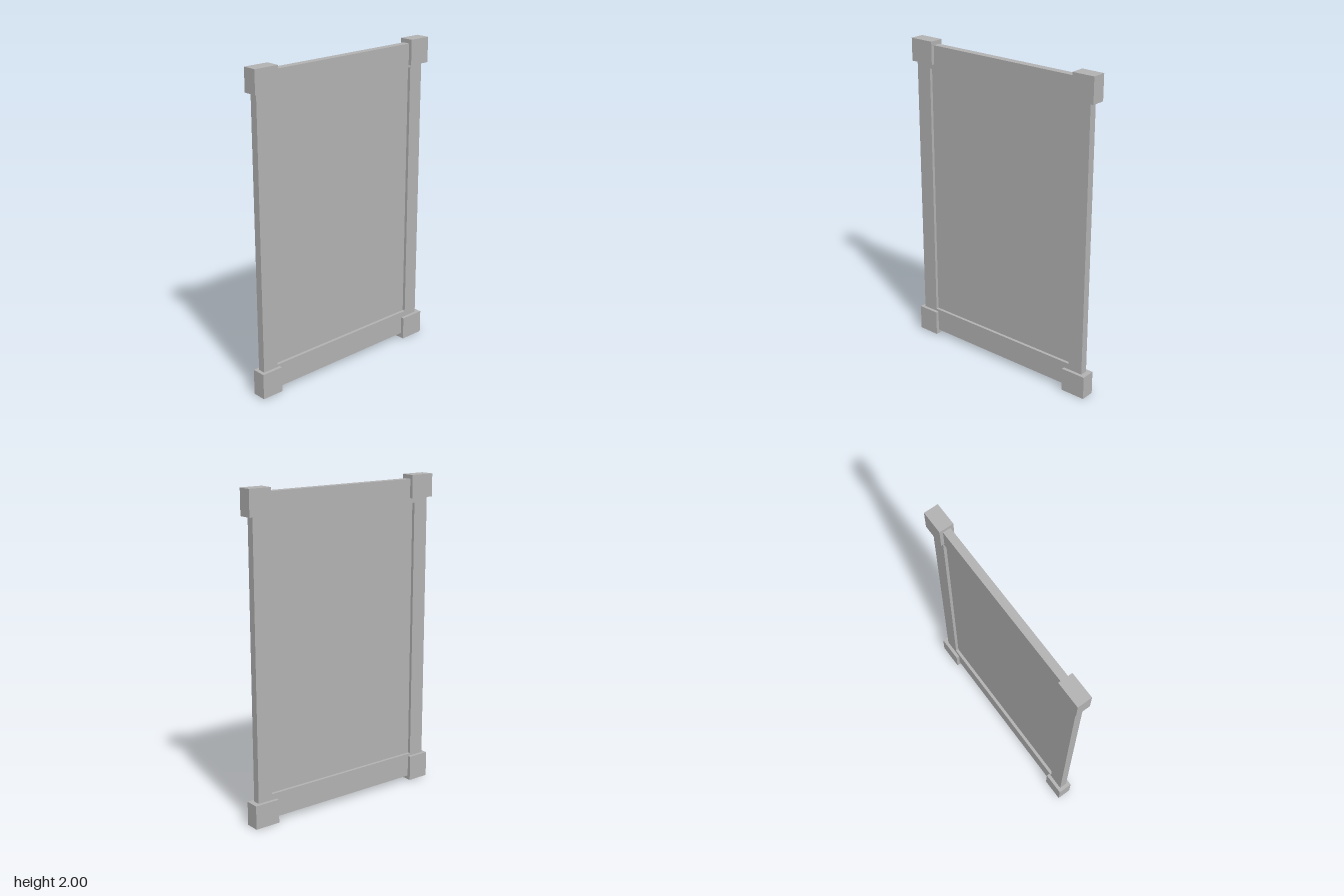
import * as THREE from 'three';

// Framed panel lying in the YZ plane, with a block capping each corner
export function createModel() {
  const group = new THREE.Group();
  const grey = new THREE.MeshStandardMaterial({ color: 0xb2b2b2 });
  grey.name = 'grey';

  // Box from its extents in z and y, with thickness along x
  const slab = (name, z0, z1, y0, y1, thickness) => {
    const mesh = new THREE.Mesh(new THREE.BoxGeometry(thickness, y1 - y0, z1 - z0), grey);
    mesh.position.set(0, (y0 + y1) / 2, (z0 + z1) / 2);
    mesh.name = name;
    group.add(mesh);
  };

  const rectangle = (target, z0, z1, y0, y1) => {
    target.moveTo(z0, y0).lineTo(z1, y0).lineTo(z1, y1).lineTo(z0, y1).closePath();
    return target;
  };

  // Frame: one flat ring around the opening
  const depth = 0.048;
  const outline = rectangle(new THREE.Shape(), -0.642, 0.652, 0.033, 1.975);
  outline.holes.push(rectangle(new THREE.Path(), -0.545, 0.55, 0.185, 1.827));
  const ring = new THREE.ExtrudeGeometry(outline, { depth, bevelEnabled: false });
  ring.translate(0, 0, -depth / 2).rotateY(-Math.PI / 2);
  const frame = new THREE.Mesh(ring, grey);
  frame.name = 'frame';
  group.add(frame);

  // Thin panel recessed on both sides
  slab('panel', -0.55, 0.555, 0.18, 1.832, 0.01);

  // Corner blocks, each slightly different in size
  slab('topFrontCorner', 0.513, 0.675, 1.858, 2.0, 0.09);
  slab('topBackCorner', -0.675, -0.53, 1.843, 2.0, 0.09);
  slab('bottomFrontCorner', 0.533, 0.675, 0.008, 0.17, 0.09);
  slab('bottomBackCorner', -0.675, -0.512, 0, 0.148, 0.09);

  return group;
}
